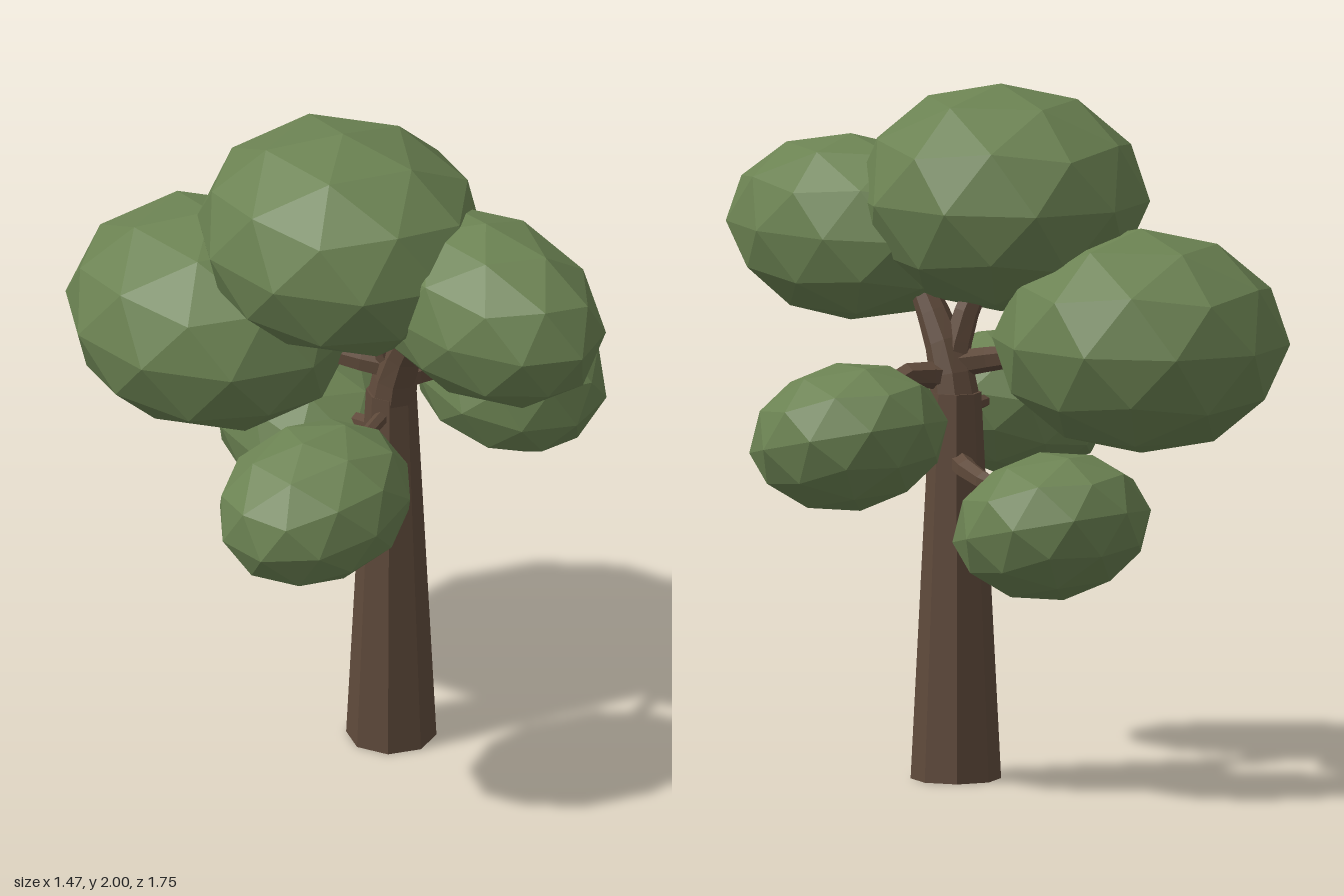
import * as THREE from 'three';

const leafMat = new THREE.MeshStandardMaterial({ color: 0x6b8252, flatShading: true, roughness: 1 });
const barkMat = new THREE.MeshStandardMaterial({ color: 0x5f4a3b, flatShading: true, roughness: 1 });

// Low-poly leaf clump: icosphere with a vertex at the top, stretched and tilted
function foliage(name, position, radii, tilt = [0, 0, 0]) {
  const geo = new THREE.IcosahedronGeometry(1, 1);
  geo.rotateZ(-Math.atan(2 / (1 + Math.sqrt(5))));
  const mesh = new THREE.Mesh(geo, leafMat);
  mesh.name = name;
  mesh.position.set(...position);
  mesh.scale.set(...radii);
  mesh.rotation.set(...tilt);
  return mesh;
}

// Tapered limb: a tube of radius 1 whose rings are shrunk towards the path
function limb(name, points, r0, r1, segments = 4, sides = 6) {
  const curve = new THREE.CatmullRomCurve3(points.map(p => new THREE.Vector3(...p)));
  const geo = new THREE.TubeGeometry(curve, segments, 1, sides);
  const pos = geo.attributes.position;
  const v = new THREE.Vector3();
  for (let i = 0; i < pos.count; i++) {
    const t = Math.floor(i / (sides + 1)) / segments;
    const c = curve.getPointAt(t);
    v.fromBufferAttribute(pos, i).sub(c).multiplyScalar(r0 + (r1 - r0) * t).add(c);
    pos.setXYZ(i, v.x, v.y, v.z);
  }
  const mesh = new THREE.Mesh(geo, barkMat);
  mesh.name = name;
  return mesh;
}

export function createModel() {
  const tree = new THREE.Group();
  tree.name = 'tree';

  // Trunk
  const trunkGeo = new THREE.CylinderGeometry(0.073, 0.13, 1.12, 8, 1);
  trunkGeo.rotateY(Math.PI / 2).translate(0.035, 0.56, 0.037);
  const trunk = new THREE.Mesh(trunkGeo, barkMat);
  trunk.name = 'trunk';
  tree.add(trunk);

  // Limbs reaching into each clump
  tree.add(
    limb('trunkTop', [[0.035, 1.08, 0.037], [0.035, 1.2, 0.06], [0.035, 1.32, 0.115], [0.035, 1.5, 0.22]], 0.073, 0.03, 5, 8),
    limb('topBranch', [[0.035, 1.18, 0.05], [0.0, 1.32, 0.04], [-0.08, 1.5, 0.01]], 0.045, 0.03),
    limb('backUpperBranch', [[0.03, 1.2, 0.04], [-0.05, 1.22, -0.06], [-0.15, 1.25, -0.25]], 0.04, 0.025),
    limb('rightBranch', [[0.02, 1.06, 0.04], [-0.16, 1.06, 0.13], [-0.4, 1.04, 0.25]], 0.022, 0.016),
    limb('leftBranch', [[0.03, 1.16, 0.05], [0.17, 1.175, 0.1], [0.27, 1.13, 0.11], [0.42, 1.03, 0.06]], 0.042, 0.025, 6),
    limb('backLowerBranch', [[0.05, 0.93, 0.02], [0.12, 0.9, -0.12], [0.14, 0.85, -0.35]], 0.035, 0.02),
  );

  // Leaf clumps
  tree.add(
    foliage('topFoliage', [-0.125, 1.67, 0.01], [0.405, 0.33, 0.45]),
    foliage('backUpperFoliage', [-0.245, 1.285, -0.43], [0.405, 0.325, 0.45]),
    foliage('frontFoliage', [0.037, 1.56, 0.45], [0.27, 0.27, 0.425]),
    foliage('rightFoliage', [-0.455, 1.02, 0.27], [0.3, 0.215, 0.27], [0, 0, 0.22]),
    foliage('leftFoliage', [0.48, 1.035, 0.04], [0.273, 0.215, 0.305], [0.22, 0, 0]),
    foliage('backLowerFoliage', [0.15, 0.79, -0.45], [0.273, 0.215, 0.305], [0.22, 0, 0]),
  );
  return tree;
}
